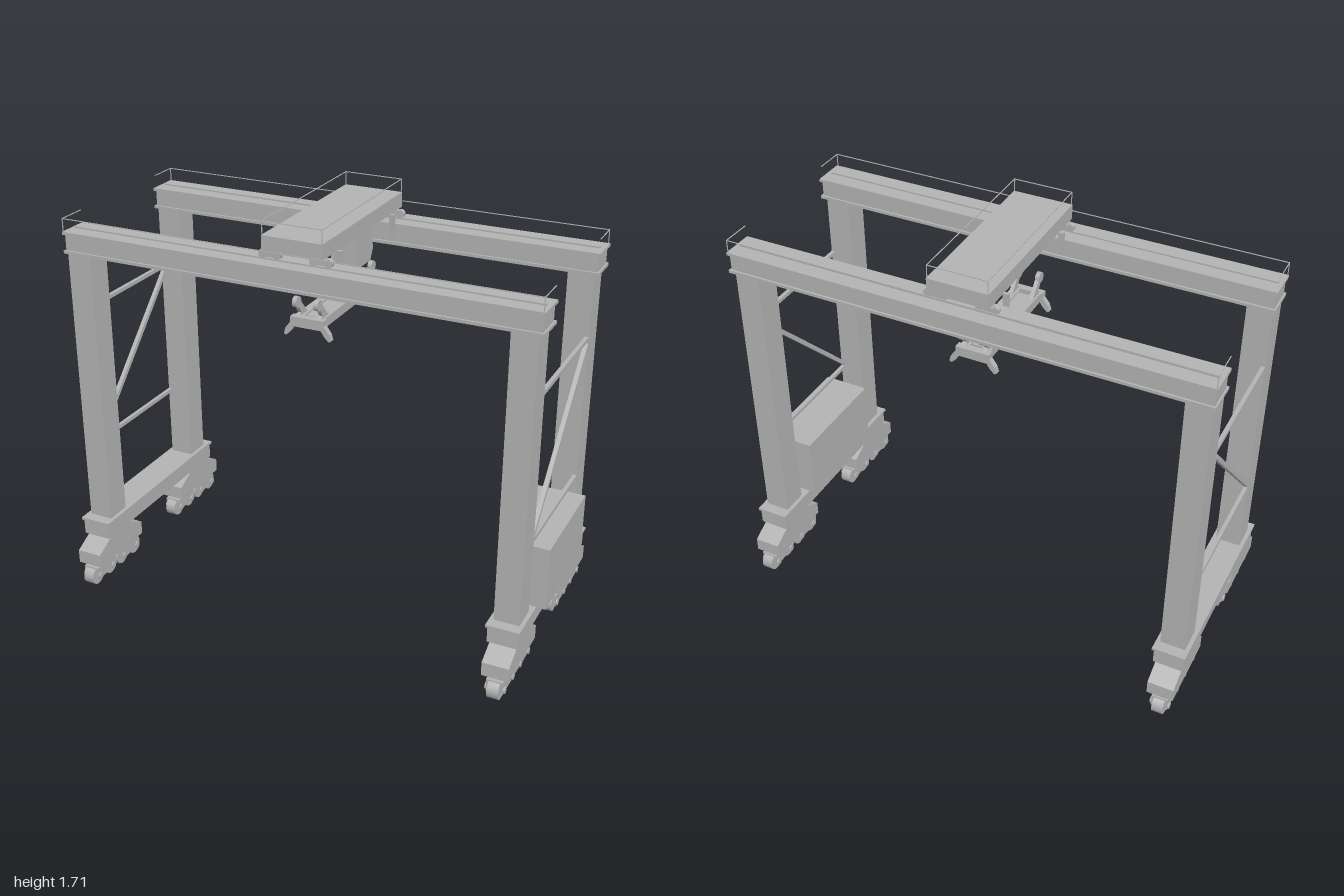
import * as THREE from 'three';

const steel = new THREE.MeshStandardMaterial({ color: 0xb2b2b2 });
steel.name = 'grey steel';

function add(parent, name, geometry, x = 0, y = 0, z = 0) {
  const mesh = new THREE.Mesh(geometry, steel);
  mesh.name = name;
  mesh.position.set(x, y, z);
  parent.add(mesh);
  return mesh;
}

// Box given by its lower and upper limits on each axis
function block(parent, name, [x0, x1], [y0, y1], [z0, z1]) {
  return add(parent, name, new THREE.BoxGeometry(x1 - x0, y1 - y0, z1 - z0),
    (x0 + x1) / 2, (y0 + y1) / 2, (z0 + z1) / 2);
}

// Square bar between two points lying in a plane of constant x
function bar(parent, name, x, [ya, za], [yb, zb], size) {
  const mesh = add(parent, name, new THREE.BoxGeometry(size, size, Math.hypot(yb - ya, zb - za)),
    x, (ya + yb) / 2, (za + zb) / 2);
  mesh.rotation.x = -Math.atan2(yb - ya, zb - za);
  return mesh;
}

// Side profile of [z, y] points, extruded symmetrically along x
function sidePlate(parent, name, points, width, x, y, z) {
  const shape = new THREE.Shape(points.map(([pz, py]) => new THREE.Vector2(-pz, py)));
  const geometry = new THREE.ExtrudeGeometry(shape, { depth: width, bevelEnabled: false });
  geometry.translate(0, 0, -width / 2).rotateY(Math.PI / 2);
  return add(parent, name, geometry, x, y, z);
}

// Wheel or pin with its axle along x
function wheel(parent, name, radius, width, x, y, z) {
  return add(parent, name, new THREE.CylinderGeometry(radius, radius, width, 20).rotateZ(Math.PI / 2), x, y, z);
}

// Equalizer, two trucks and four wheels under one corner
function bogie(x, z) {
  const group = new THREE.Group();
  group.name = 'wheelBogie';
  group.position.set(x, 0, z);
  sidePlate(group, 'equalizer', [[-0.16, 0.097], [0.16, 0.097], [0.16, 0.155], [0.06, 0.205],
    [-0.06, 0.205], [-0.16, 0.155]], 0.108, 0, 0, 0);
  for (const tz of [-0.092, 0.092]) {
    block(group, 'truckFrame', [-0.034, 0.034], [0.028, 0.082], [tz - 0.063, tz + 0.063]);
    block(group, 'truckPivot', [-0.042, 0.042], [0.075, 0.1], [tz - 0.018, tz + 0.018]);
    for (const s of [-1, 1]) {
      wheel(group, 'groundWheel', 0.04, 0.046, 0, 0.04, tz + s * 0.048);
      wheel(group, 'axleHub', 0.014, 0.08, 0, 0.042, tz + s * 0.048);
    }
  }
  return group;
}

// Thin handrail around a rectangle, carried on corner posts
function handrail(parent, [x0, x1], [z0, z1], y0, y1, closedSides) {
  const t = 0.0015;
  for (const z of closedSides) block(parent, 'handrail', [x0, x1], [y1 - 2 * t, y1], [z - t, z + t]);
  for (const x of [x0, x1]) {
    block(parent, 'handrail', [x - t, x + t], [y1 - 2 * t, y1], [z0, z1]);
    for (const z of closedSides) block(parent, 'railPost', [x - t, x + t], [y0, y1], [z - t, z + t]);
  }
}

function buildFrame(crane) {
  const legs = [-0.936, 0.893];
  // Main girders with wide flanges
  for (const s of [-1, 1]) {
    const z = 0.328 * s;
    block(crane, 'girderWeb', [-0.99, 0.957], [1.47, 1.545], [z - 0.06, z + 0.06]);
    for (const y of [1.463, 1.54]) {
      block(crane, 'girderFlange', [-0.997, 0.965], [y, y + 0.012], [z - 0.069, z + 0.069]);
    }
    block(crane, 'craneRail', [-0.98, 0.945], [1.552, 1.558], [z - 0.006, z + 0.006]);
    handrail(crane, [-0.993, 0.958], s > 0 ? [0.27, 0.394] : [-0.394, -0.27], 1.552, 1.607, [0.394 * s]);
  }
  for (const x of legs) {
    // Sill beam
    block(crane, 'sillBeam', [x - 0.061, x + 0.061], [0.205, 0.273], [-0.422, 0.422]);
    block(crane, 'sillFlange', [x - 0.068, x + 0.068], [0.272, 0.283], [-0.429, 0.429]);
    for (const z of [-0.328, 0.328]) {
      block(crane, 'leg', [x - 0.051, x + 0.051], [0.28, 1.466], [z - 0.055, z + 0.055]);
      crane.add(bogie(x, z));
    }
    // Bracing in the outer plane of the legs
    const bx = x + Math.sign(x) * 0.043;
    bar(crane, 'crossBrace', bx, [1.2, -0.276], [1.2, 0.276], 0.016);
    bar(crane, 'crossBrace', bx, [0.597, -0.276], [0.597, 0.276], 0.016);
    bar(crane, 'diagonalBrace', bx, [1.175, -0.276], [0.612, 0.28], 0.018);
  }
  block(crane, 'powerUnit', [0.8, 0.998], [0.28, 0.545], [-0.232, 0.232]);
}

function buildTrolley() {
  const trolley = new THREE.Group();
  trolley.name = 'trolley';
  trolley.position.x = -0.008;
  block(trolley, 'trolleyDeck', [-0.125, 0.125], [1.592, 1.653], [-0.36, 0.36]);
  handrail(trolley, [-0.122, 0.122], [-0.357, 0.357], 1.65, 1.708, [-0.357, 0.357]);
  // Trolley wheels running on the girders
  for (const z of [-0.326, 0.326]) {
    for (const x of [-0.105, 0.105]) {
      block(trolley, 'trolleyTruck', [x - 0.03, x + 0.03], [1.565, 1.588], [z - 0.015, z + 0.015]);
      block(trolley, 'truckPivot', [x - 0.012, x + 0.012], [1.58, 1.595], [z - 0.01, z + 0.01]);
      for (const s of [-1, 1]) wheel(trolley, 'trolleyWheel', 0.017, 0.02, x + s * 0.03, 1.574, z).rotation.y = Math.PI / 2;
    }
  }
  // Hoist brackets at the deck sides
  for (const z of [-0.24, 0.24]) {
    for (const x of [-0.135, 0.135]) {
      sidePlate(trolley, 'hoistBracket', [[-0.007, 1.595], [-0.005, 1.508], [0.003, 1.508], [0.007, 1.595]], 0.022, x, 0, z);
    }
  }
  // Operator cab with a raked window side
  sidePlate(trolley, 'operatorCab', [[0.07, 1.595], [0.07, 1.46], [-0.062, 1.46], [-0.088, 1.505],
    [-0.066, 1.595]], 0.105, 0.07, 0, 0);
  return trolley;
}

function buildSpreader() {
  const spreader = new THREE.Group();
  spreader.name = 'spreader';
  spreader.position.x = -0.006;
  for (const x of [-0.043, 0.043]) block(spreader, 'spreaderBeam', [x - 0.018, x + 0.018], [1.268, 1.306], [-0.24, 0.24]);
  block(spreader, 'spreaderCentre', [-0.03, 0.03], [1.275, 1.3], [-0.2, 0.2]);
  for (const s of [-1, 1]) {
    block(spreader, 'endBeam', [-0.07, 0.07], [1.267, 1.307], [s * 0.235 - 0.015, s * 0.235 + 0.015]);
    for (const x of [-0.045, 0.045]) {
      // Raised horn carrying a rope sheave
      let horn = [[0.25, 1.3], [0.15, 1.3], [0.175, 1.312], [0.222, 1.365], [0.246, 1.355], [0.217, 1.315]];
      if (s < 0) horn = horn.map(([z, y]) => [-z, y]);
      sidePlate(spreader, 'sheaveHorn', horn, 0.016, x, 0, 0);
      wheel(spreader, 'ropeSheave', 0.022, 0.018, x, 1.367, s * 0.243);
    }
    // Flared guide flaps at the corners
    for (const m of [-1, 1]) {
      const shape = new THREE.Shape([[0.055, 1.27], [0.07, 1.245], [0.09, 1.225], [0.1, 1.23], [0.093, 1.255], [0.07, 1.285]]
        .map(([x, y]) => new THREE.Vector2(m * x, y)));
      const flap = new THREE.ExtrudeGeometry(shape, { depth: 0.022, bevelEnabled: false });
      add(spreader, 'guideFlap', flap, 0, 0, s * 0.235 - 0.011);
    }
  }
  return spreader;
}

export function createModel() {
  const model = new THREE.Group();
  model.name = 'gantryCrane';
  const crane = new THREE.Group();
  crane.name = 'crane';
  // The whole crane stands very slightly turned
  crane.rotation.y = -0.006;
  crane.position.z = 0.002;
  buildFrame(crane);
  crane.add(buildTrolley(), buildSpreader());
  model.add(crane);
  return model;
}
